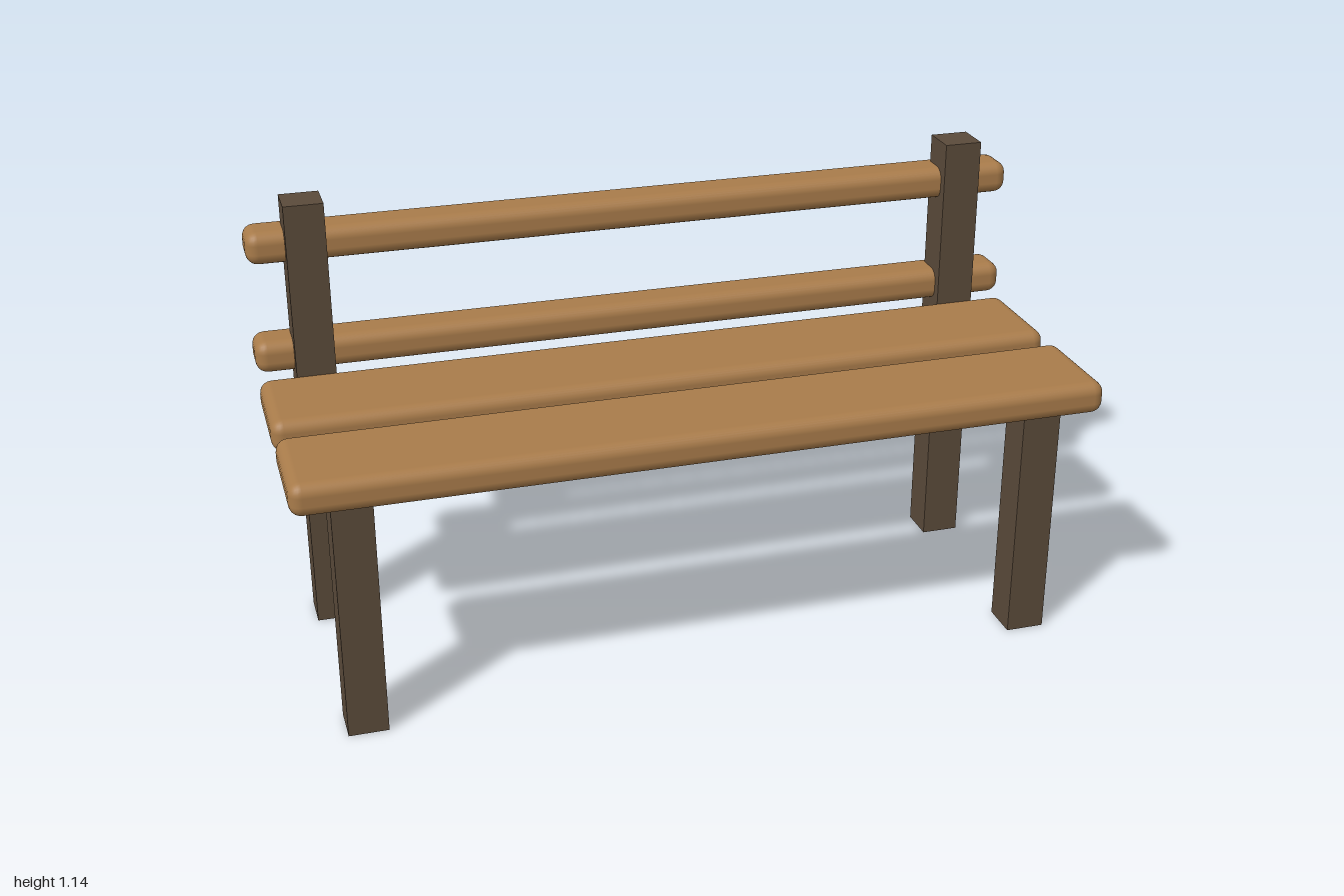
import * as THREE from 'three';
import { RoundedBoxGeometry } from 'three/addons/geometries/RoundedBoxGeometry.js';

const wood = new THREE.MeshStandardMaterial({ color: 0xa87b4a });
const darkWood = new THREE.MeshStandardMaterial({ color: 0x5a4a3a });

export function createModel() {
  const bench = new THREE.Group();
  bench.name = 'bench';

  // Full-length plank with softly rounded edges
  const plank = (name, depth, y, z) => {
    const mesh = new THREE.Mesh(new RoundedBoxGeometry(2, 0.083, depth, 3, 0.03), wood);
    mesh.name = name;
    mesh.position.set(0, y, z);
    bench.add(mesh);
  };

  // Square post standing on the ground
  const post = (name, height, x, z) => {
    const mesh = new THREE.Mesh(new THREE.BoxGeometry(0.098, height, 0.098), darkWood);
    mesh.name = name;
    mesh.position.set(x, height / 2, z);
    bench.add(mesh);
  };

  // Seat
  plank('frontSeatPlank', 0.284, 0.659, 0.23);
  plank('rearSeatPlank', 0.284, 0.659, -0.113);

  // Backrest
  plank('lowerBackSlat', 0.113, 0.744, -0.315);
  plank('upperBackSlat', 0.113, 1.029, -0.315);

  // Short front legs and tall rear posts on each side
  for (const [side, s] of [['left', 1], ['right', -1]]) {
    post(side + 'FrontLeg', 0.625, s * 0.857, 0.273);
    post(side + 'RearPost', 1.143, s * 0.857, -0.285);
  }
  return bench;
}
